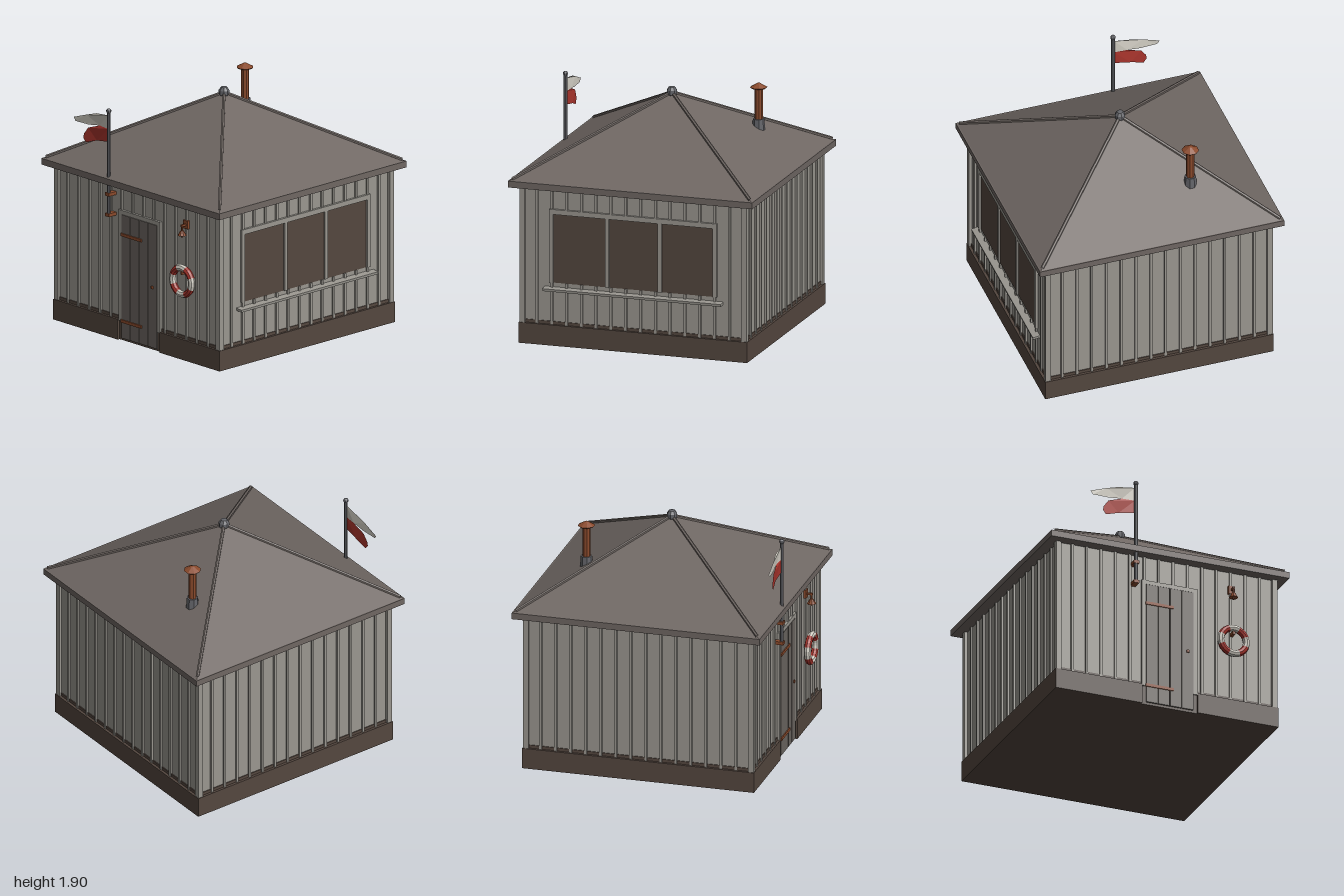
import * as THREE from 'three';

const mat = (name, color, extra = {}) => {
  const m = new THREE.MeshStandardMaterial({ color, ...extra });
  m.name = name;
  return m;
};

export function createModel() {
  const M = {
    wall: mat('weathered timber', 0x9a9790),
    roof: mat('roof grey', 0x6f6763),
    plinth: mat('dark brown', 0x54473f),
    door: mat('door timber', 0x6b6560),
    metal: mat('dull metal', 0x64656a),
    rust: mat('rusty iron', 0x8a4a2c),
    red: mat('faded red', 0xa8342c, { side: THREE.DoubleSide }),
    white: mat('off white', 0xd0ccc2, { side: THREE.DoubleSide }),
  };
  const model = new THREE.Group();
  model.name = 'beachHut';

  const add = (parent, name, geo, material) => {
    // facet everything
    const g = geo.index ? geo.toNonIndexed() : geo;
    g.computeVertexNormals();
    const mesh = new THREE.Mesh(g, material);
    mesh.name = name;
    parent.add(mesh);
    return mesh;
  };
  // box given by its limits on each axis
  const box = (parent, name, material, x0, x1, y0, y1, z0, z1) => {
    const g = new THREE.BoxGeometry(x1 - x0, y1 - y0, z1 - z0);
    g.translate((x0 + x1) / 2, (y0 + y1) / 2, (z0 + z1) / 2);
    return add(parent, name, g, material);
  };
  const cyl = (parent, name, material, rTop, rBottom, y0, y1, x, z, sides = 8) => {
    const g = new THREE.CylinderGeometry(rTop, rBottom, y1 - y0, sides);
    g.rotateY(Math.PI / sides);
    g.translate(x, (y0 + y1) / 2, z);
    return add(parent, name, g, material);
  };

  // Plinth, set back behind the door
  box(model, 'plinth', M.plinth, -0.935, 0.935, 0, 0.165, -0.935, 0.915);
  box(model, 'plinthFrontRight', M.plinth, -0.935, -0.21, 0, 0.165, 0.915, 0.935);
  box(model, 'plinthFrontLeft', M.plinth, 0.26, 0.935, 0, 0.165, 0.915, 0.935);
  box(model, 'skirtBoard', M.plinth, -0.914, 0.914, 0.165, 0.19, -0.914, 0.914);

  // Walls with battens; openings are [x0, x1, y0, y1] in each wall's own frame
  box(model, 'wallCore', M.wall, -0.907, 0.907, 0.19, 1.27, -0.907, 0.907);
  const sides = [
    ['frontWall', 0, [-0.22, 0.27, 0.165, 1.055]],
    ['windowWall', Math.PI / 2, [-0.69, 0.685, 0.5, 1.09]],
    ['backWall', Math.PI, null],
    ['plainWall', -Math.PI / 2, null],
  ];
  const walls = sides.map(([name, angle, hole]) => {
    const wall = new THREE.Group();
    wall.name = name;
    wall.rotation.y = angle;
    model.add(wall);
    for (let i = 0; i < 14; i++) {
      const x = -0.79 + i * 0.121;
      const b = (y0, y1) => box(wall, 'batten', M.wall, x - 0.01, x + 0.01, y0, y1, 0.9, 0.922);
      if (hole && x > hole[0] && x < hole[1]) {
        if (hole[2] > 0.2) b(0.165, hole[2]);
        b(hole[3], 1.26);
      } else b(0.165, 1.26);
    }
    return wall;
  });
  for (const sx of [-1, 1]) for (const sz of [-1, 1]) {
    const post = box(model, 'cornerBoard', M.wall, -0.022, 0.022, 0.165, 1.26, -0.022, 0.022);
    post.position.set(sx * 0.908, 0, sz * 0.908);
  }

  // Door: frame, four planks, strap hinges and knob
  const front = walls[0];
  box(front, 'doorJamb', M.wall, -0.21, -0.174, 0.155, 1.055, 0.9, 0.928);
  box(front, 'doorJamb', M.wall, 0.224, 0.26, 0.155, 1.055, 0.9, 0.928);
  box(front, 'doorHeader', M.wall, -0.174, 0.224, 1.022, 1.055, 0.9, 0.928);
  box(front, 'doorBacking', M.door, -0.174, 0.224, 0.02, 1.022, 0.9, 0.918);
  for (let i = 0; i < 4; i++) {
    const x = -0.174 + i * 0.0995;
    box(front, 'doorPlank', M.door, x + 0.003, x + 0.0965, 0.02, 1.02, 0.915, 0.93);
  }
  for (const y of [0.16, 0.86]) box(front, 'strapHinge', M.rust, -0.178, 0.055, y - 0.012, y + 0.012, 0.925, 0.938);
  box(front, 'doorKnob', M.rust, 0.165, 0.185, 0.5, 0.52, 0.925, 0.942);

  // Wide window with three panes and a sill
  const win = walls[1];
  box(win, 'windowPane', M.plinth, -0.66, 0.655, 0.5, 1.055, 0.9, 0.912);
  box(win, 'windowJamb', M.wall, -0.688, -0.655, 0.5, 1.09, 0.9, 0.928);
  box(win, 'windowJamb', M.wall, 0.65, 0.683, 0.5, 1.09, 0.9, 0.928);
  box(win, 'windowHeader', M.wall, -0.655, 0.65, 1.05, 1.09, 0.9, 0.928);
  for (const x of [-0.215, 0.215]) box(win, 'mullion', M.wall, x - 0.015, x + 0.015, 0.5, 1.05, 0.9, 0.925);
  const sill = box(win, 'windowSill', M.wall, -0.73, 0.73, -0.01, 0.01, 0, 0.06);
  sill.position.set(0, 0.456, 0.905);
  sill.rotation.x = 0.12;

  // Roof: fascia, pyramid, hip caps and finial
  box(model, 'fascia', M.roof, -1, 1, 1.255, 1.306, -1, 1);
  const pyramid = new THREE.ConeGeometry(Math.SQRT2 * 0.99, 0.545, 4, 1, true);
  pyramid.rotateY(Math.PI / 4);
  pyramid.translate(0, 1.306 + 0.2725, 0);
  add(model, 'roof', pyramid, M.roof);
  const apex = new THREE.Vector3(0, 1.853, 0);
  for (const sx of [-1, 1]) for (const sz of [-1, 1]) {
    const hip = new THREE.LineCurve3(new THREE.Vector3(sx * 0.975, 1.318, sz * 0.975), apex);
    add(model, 'hipCap', new THREE.TubeGeometry(hip, 1, 0.014, 6), M.roof);
  }
  const finial = [[0, 1.81], [0.03, 1.82], [0.042, 1.84], [0.042, 1.87], [0.025, 1.895], [0, 1.9]];
  add(model, 'finial', new THREE.LatheGeometry(finial.map(p => new THREE.Vector2(...p)), 8), M.metal);

  // Stove pipe
  const px = -0.375, pz = -0.58;
  cyl(model, 'chimneyCollar', M.metal, 0.045, 0.052, 1.48, 1.595, px, pz);
  cyl(model, 'chimneyPipe', M.rust, 0.032, 0.032, 1.58, 1.85, px, pz);
  cyl(model, 'chimneyCap', M.rust, 0.012, 0.068, 1.848, 1.88, px, pz);
  cyl(model, 'chimneyCapRim', M.rust, 0.068, 0.06, 1.84, 1.848, px, pz);

  // Flagpole with brackets
  const fx = -0.277, fz = 0.967;
  cyl(model, 'flagpole', M.metal, 0.015, 0.015, 1.0, 1.84, fx, fz);
  add(model, 'poleBall', new THREE.SphereGeometry(0.021, 8, 6), M.metal).position.set(fx, 1.845, fz);
  for (const y of [1.005, 1.172]) box(model, 'poleBracket', M.rust, fx - 0.022, fx + 0.022, y - 0.013, y + 0.013, 0.905, 0.985);

  // Two-band flag, gently waved
  const band = (name, material, pts) => {
    const g = new THREE.ShapeGeometry(new THREE.Shape(pts.map(p => new THREE.Vector2(...p))));
    const p = g.attributes.position;
    for (let i = 0; i < p.count; i++) p.setZ(i, fz + 0.009 * Math.sin((p.getX(i) - fx) * 14));
    add(model, name, g, material);
  };
  band('flagUpperBand', M.white, [[-0.285, 1.807], [-0.42, 1.793], [-0.525, 1.76], [-0.663, 1.712],
    [-0.642, 1.684], [-0.5, 1.684], [-0.39, 1.7], [-0.285, 1.697]]);
  band('flagLowerBand', M.red, [[-0.285, 1.697], [-0.39, 1.7], [-0.508, 1.658], [-0.55, 1.6],
    [-0.556, 1.567], [-0.53, 1.535], [-0.42, 1.572], [-0.285, 1.593]]);

  // Life ring in eight alternating arcs, with its peg
  const ring = new THREE.Group();
  ring.name = 'lifeRing';
  ring.position.set(0.545, 0.652, 0.964);
  model.add(ring);
  for (let i = 0; i < 8; i++) {
    const g = new THREE.TorusGeometry(0.107, 0.028, 8, 3, Math.PI / 4);
    g.rotateZ((i - 0.5) * Math.PI / 4);
    add(ring, 'ringSection', g, i % 2 ? M.red : M.white);
  }
  box(model, 'ringPeg', M.rust, 0.535, 0.555, 0.705, 0.73, 0.9, 0.975);

  // Bell on a wall bracket
  box(model, 'bellPlate', M.rust, 0.52, 0.57, 1.068, 1.135, 0.9, 0.93);
  box(model, 'bellArm', M.rust, 0.537, 0.553, 1.093, 1.109, 0.92, 0.975);
  cyl(model, 'bellHanger', M.rust, 0.008, 0.008, 1.04, 1.1, 0.545, 0.965, 6);
  cyl(model, 'bell', M.rust, 0.014, 0.036, 1.022, 1.06, 0.545, 0.965);
  cyl(model, 'bellClapper', M.rust, 0.01, 0.008, 1.006, 1.024, 0.545, 0.965, 6);

  return model;
}
